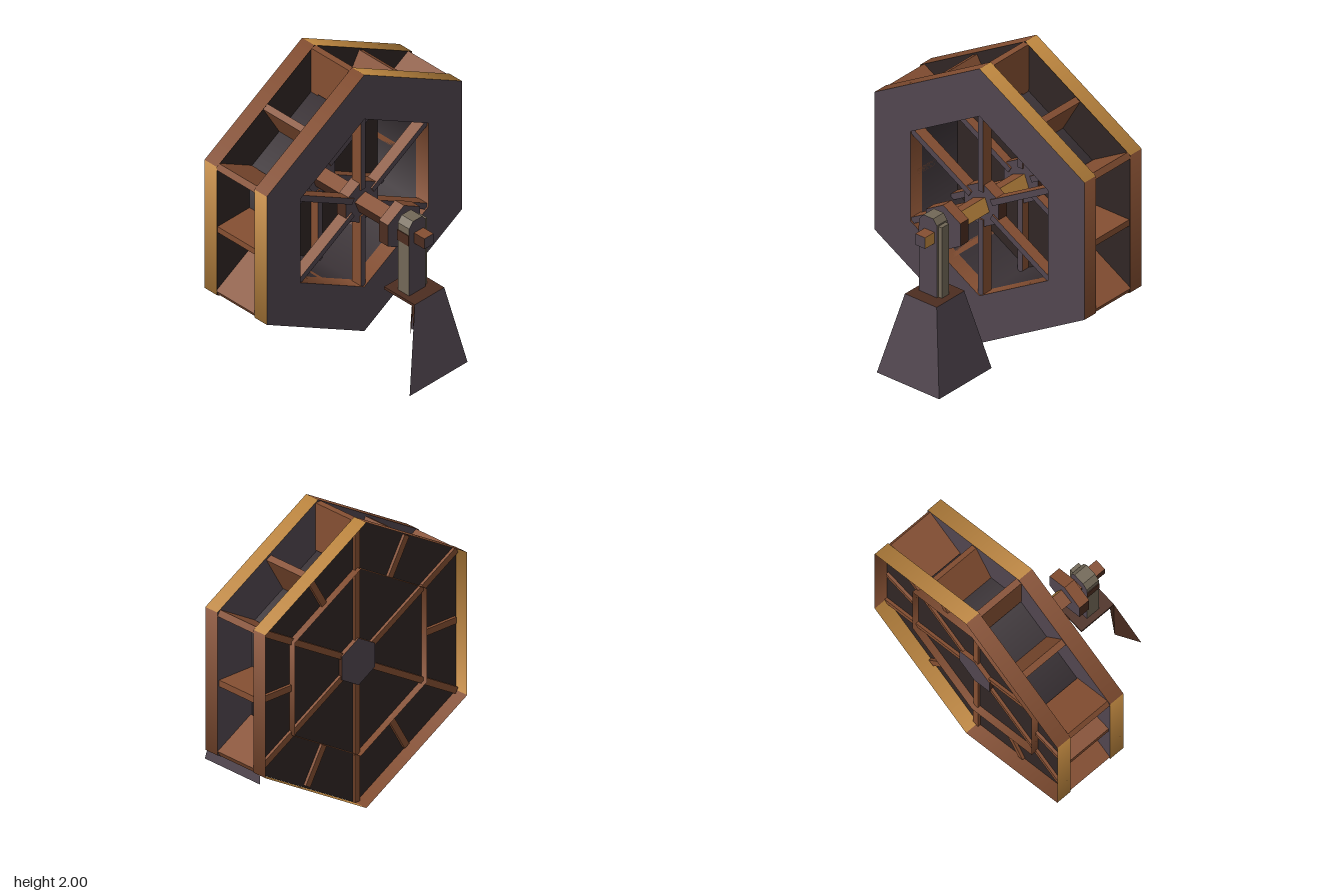
import * as THREE from 'three';

const mat = (name, color, side = THREE.FrontSide) => {
  const m = new THREE.MeshStandardMaterial({ color, side });
  m.name = name;
  return m;
};

export function createModel() {
  const D = THREE.DoubleSide;
  const gold = mat('gold wood', 0xc08840, D);
  const brown = mat('brown wood', 0x854f32, D);
  const dark = mat('dark wood', 0x4c2d20, D);
  const iron = mat('purple grey iron', 0x51464f, D);
  const grey = mat('weathered grey', 0x726857);
  const backing = mat('backing board', 0x302624, D);
  const drumMat = mat('drum board', 0x3a3236, D);

  const CY = 1.007, OUT = 0.993, IN = 0.65;
  const model = new THREE.Group();
  const wheel = new THREE.Group();
  wheel.name = 'wheel';
  wheel.position.y = CY;
  model.add(wheel);

  const add = (parent, name, geo, material, x = 0, y = 0, z = 0) => {
    const m = new THREE.Mesh(geo, material);
    m.name = name;
    m.position.set(x, y, z);
    parent.add(m);
    return m;
  };

  // Six-sided tube or prism lying along x, a corner pointing up
  const hexTube = (r, x0, x1, open = true) => {
    const g = new THREE.CylinderGeometry(r, r, x1 - x0, 6, 1, open, Math.PI / 2);
    g.rotateZ(-Math.PI / 2);
    g.translate((x0 + x1) / 2, 0, 0);
    return g;
  };
  // Assign a material index to each of the six sides
  const paintSides = (g, ids) => {
    g.clearGroups();
    ids.forEach((id, i) => g.addGroup(i * 6, 6, id));
    return g;
  };

  // Outer rims, sides alternating between two woods
  for (const [name, x0, x1] of [['leftRim', -0.61, -0.5], ['rightRim', -0.17, -0.06]]) {
    add(wheel, name, paintSides(hexTube(OUT, x0, x1), [0, 1, 0, 1, 0, 1]), [gold, brown]);
  }

  // Faces of the right rim and the board closing the left one
  for (const x of [-0.06, -0.17]) {
    const g = new THREE.RingGeometry(IN, OUT, 6, 1, Math.PI / 2);
    g.rotateY(Math.PI / 2);
    add(wheel, 'rimFace', g, iron, x);
  }
  const board = new THREE.CircleGeometry(OUT - 0.002, 6, Math.PI / 2);
  board.rotateY(Math.PI / 2);
  add(wheel, 'backBoard', board, backing, -0.51);

  // Inner linings and drum
  add(wheel, 'rightLining', hexTube(IN, -0.17, -0.06), brown);
  add(wheel, 'leftLining', hexTube(IN, -0.56, -0.51), brown);
  add(wheel, 'drum', hexTube(IN, -0.51, -0.17), drumMat);

  // Paddles at every corner and at the middle of every side
  for (let i = 0; i < 12; i++) {
    const k = i % 2 ? Math.cos(Math.PI / 6) : 1;
    const r0 = IN * k, r1 = OUT * k - 0.015;
    const g = new THREE.BoxGeometry(0.41, r1 - r0, 0.045);
    g.translate(-0.325, (r0 + r1) / 2, 0);
    add(wheel, 'paddle', g, brown).rotation.x = i * Math.PI / 6;
  }

  // Spokes of both rims
  for (const x of [-0.11, -0.49]) {
    for (let i = 0; i < 6; i++) {
      const g = new THREE.BoxGeometry(0.08, IN - 0.1, 0.042);
      g.translate(x, (IN + 0.1) / 2, 0);
      add(wheel, 'spoke', g, [iron, brown, brown, brown, brown, brown]).rotation.x = i * Math.PI / 3;
    }
  }

  // Hub collars: two in the wheel, one beside the post
  for (const x of [-0.5, -0.12, 0.25]) {
    const g = paintSides(hexTube(0.163, x - 0.04, x + 0.04, false), [0, 1, 0, 0, 1, 0]);
    g.addGroup(36, 36, 2);
    const flat = g.toNonIndexed();
    flat.computeVertexNormals();
    add(wheel, 'hubCollar', flat, [brown, dark, iron]);
  }

  // Twisted square shaft and thinner axle end
  const shaft = add(wheel, 'shaft', new THREE.BoxGeometry(0.72, 0.1, 0.1),
    [iron, iron, brown, brown, dark, gold], -0.14);
  shaft.rotation.x = 0.37;
  add(wheel, 'axleEnd', new THREE.BoxGeometry(0.22, 0.08, 0.08),
    [iron, iron, brown, brown, dark, gold], 0.4);
  add(wheel, 'axlePlate', new THREE.BoxGeometry(0.1, 0.08, 0.008), dark, 0.37, 0, 0.086);

  // Post, extruded across from its side outline
  const outline = new THREE.Shape([
    [-0.085, 0.57], [0.06, 0.57], [0.06, 1.1], [0.03, 1.14], [-0.05, 1.14], [-0.085, 1.1],
  ].map(([z, y]) => new THREE.Vector2(z, y)));
  const postGeo = new THREE.ExtrudeGeometry(outline, { depth: 0.1, bevelEnabled: false });
  postGeo.rotateY(Math.PI / 2);
  add(model, 'post', postGeo, [iron, grey], 0.32);
  add(model, 'postBack', new THREE.BoxGeometry(0.07, 0.52, 0.03), grey, 0.37, 0.83, -0.073);

  // Stand: top plate, two sloping walls and their inner edges
  const quad = (name, pts, material) => {
    const g = new THREE.BufferGeometry();
    g.setAttribute('position', new THREE.Float32BufferAttribute(pts.flat(), 3));
    g.setIndex([0, 1, 2, 0, 2, 3]);
    const flat = g.toNonIndexed();
    flat.computeVertexNormals();
    add(model, name, flat, material);
  };
  add(model, 'standTop', new THREE.BoxGeometry(0.27, 0.02, 0.26), dark, 0.375, 0.57, -0.005);
  quad('standBackWall',
    [[0.61, 0, -0.24], [0.105, 0, -0.24], [0.245, 0.58, -0.135], [0.51, 0.58, -0.135]], iron);
  quad('standRightWall',
    [[0.61, 0, 0.27], [0.61, 0, -0.24], [0.51, 0.58, -0.135], [0.51, 0.58, 0.125]], iron);
  quad('standFrontEdge',
    [[0.52, 0, 0.12], [0.61, 0, 0.27], [0.51, 0.58, 0.125], [0.48, 0.57, 0.12]], dark);
  quad('standLeftEdge',
    [[0.105, 0, -0.24], [0.16, 0, -0.19], [0.27, 0.57, -0.12], [0.245, 0.58, -0.135]], dark);

  return model;
}
